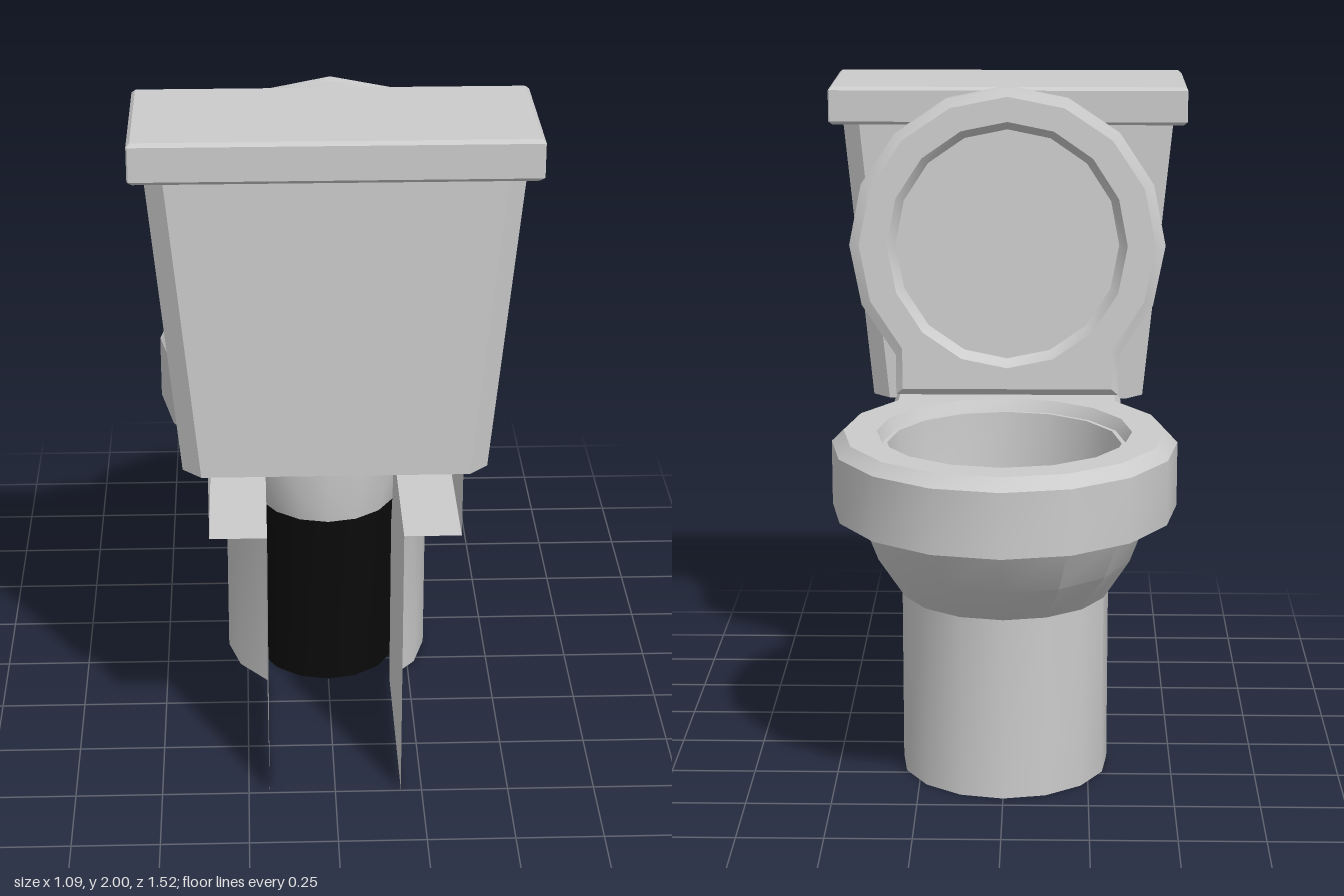
import * as THREE from 'three';
import { toCreasedNormals } from 'three/addons/utils/BufferGeometryUtils.js';

const grey = new THREE.MeshStandardMaterial({ color: 0xcccccc, side: THREE.DoubleSide });
const black = new THREE.MeshStandardMaterial({ color: 0x0a0a0a, side: THREE.DoubleSide });

// 16-sided oval at height y. With backZ the rear is squared off at x = +-endX.
// Point 0 is the middle of the rear; the rest run counter-clockwise seen from above.
function oval(y, cz, rx, rz, endX, backZ) {
  const squared = backZ !== undefined;
  const a0 = squared ? Math.asin(endX / rx) : Math.PI / 4;
  const at = a => [rx * Math.sin(a), y, cz + rz * Math.cos(a)];
  const e = Math.PI / 8;
  const pts = squared ? [[0, y, backZ], [endX, y, backZ]] : [at(0), at(e)];
  for (let i = 0; i <= 12; i++) pts.push(at(a0 + (2 * Math.PI - 2 * a0) * i / 12));
  pts.push(squared ? [-endX, y, backZ] : at(-e));
  return pts;
}

// Rectangle with chamfered corners, same direction as oval
function chamferRect(y, hx, z0, z1, c) {
  return [[hx - c, z1], [hx, z1 - c], [hx, z0 + c], [hx - c, z0],
    [c - hx, z0], [-hx, z0 + c], [-hx, z1 - c], [c - hx, z1]].map(([x, z]) => [x, y, z]);
}

// Skin a stack of rings
function loft(name, rings, { open = false, bottom = false, top = false, material = grey } = {}) {
  const pos = [], n = rings[0].length;
  const tri = (a, b, c) => pos.push(...a, ...b, ...c);
  for (let i = 0; i < rings.length - 1; i++) {
    for (let j = 0; j < (open ? n - 1 : n); j++) {
      const k = (j + 1) % n, lo = rings[i], hi = rings[i + 1];
      tri(lo[j], lo[k], hi[k]);
      tri(lo[j], hi[k], hi[j]);
    }
  }
  const cap = (ring, up) => {
    const mid = [0, 1, 2].map(d => ring.reduce((s, p) => s + p[d], 0) / n);
    ring.forEach((p, j) => {
      const q = ring[(j + 1) % n];
      up ? tri(mid, p, q) : tri(mid, q, p);
    });
  };
  if (bottom) cap(rings[0], false);
  if (top) cap(rings[rings.length - 1], true);
  const geo = new THREE.BufferGeometry();
  geo.setAttribute('position', new THREE.Float32BufferAttribute(pos, 3));
  const mesh = new THREE.Mesh(toCreasedNormals(geo, 0.5), material);
  mesh.name = name;
  return mesh;
}

export function createModel() {
  const model = new THREE.Group();
  model.name = 'toilet';

  // Pedestal with its side walls, flared bowl and wide rim band, open at the rear
  model.add(loft('pedestalAndBowlShell', [
    oval(0, -0.13, 0.31, 0.32, 0.19, 0.745),
    oval(0.55, -0.13, 0.31, 0.32, 0.19, 0.745),
    oval(0.68, -0.18, 0.38, 0.42, 0.19, 0.745),
    oval(0.83, -0.22, 0.43, 0.47, 0.19, 0.745),
    oval(0.83, -0.22, 0.505, 0.545, 0.35, 0.745),
    oval(1.02, -0.22, 0.505, 0.545, 0.35, 0.745),
  ].map(r => r.slice(1)), { open: true }));

  // Shelf under the tank, bevelled seat and inside of the bowl
  model.add(loft('seatAndBowlLining', [
    oval(1.02, -0.22, 0.505, 0.545, 0.35, 0.745),
    oval(1.02, -0.22, 0.505, 0.545, 0.35, 0.31),
    oval(1.055, -0.22, 0.47, 0.51, 0.33, 0.3),
    oval(1.055, -0.23, 0.372, 0.402),
    oval(1.02, -0.23, 0.355, 0.385),
    oval(1.02, -0.23, 0.342, 0.372),
    oval(0.8, -0.19, 0.305, 0.33),
    oval(0.66, -0.15, 0.26, 0.285),
    oval(0.55, -0.125, 0.22, 0.245),
  ]));

  // Dark drain running down through the pedestal
  model.add(loft('drain', [
    oval(0, -0.125, 0.22, 0.245),
    oval(0.55, -0.125, 0.22, 0.245),
  ], { material: black }));

  // Raised lid, modelled closed with a recessed underside and tipped up
  const lid = loft('lid', [
    oval(0, 0, 0.34, 0.35),
    oval(-0.035, 0, 0.365, 0.375),
    oval(-0.035, 0, 0.45, 0.45, 0.32, 0.44),
    oval(-0.018, 0, 0.48, 0.48, 0.34, 0.46),
    oval(0.018, 0, 0.48, 0.48, 0.34, 0.46),
    oval(0.035, 0, 0.45, 0.45, 0.32, 0.44),
  ], { bottom: true, top: true });
  lid.rotation.x = THREE.MathUtils.degToRad(93);
  lid.position.set(0, 1.52, 0.235);
  model.add(lid);

  // Tank, wider at the top, with chamfered corners
  model.add(loft('tank', [
    chamferRect(1.02, 0.42, 0.32, 0.745, 0.052),
    chamferRect(1.88, 0.505, 0.32, 0.745, 0.052),
  ], { bottom: true, top: true }));

  // Tank cover with a small bevel
  model.add(loft('tankCover', [
    chamferRect(1.875, 0.535, 0.31, 0.75, 0.004),
    chamferRect(1.885, 0.545, 0.3, 0.76, 0.004),
    chamferRect(1.98, 0.545, 0.3, 0.76, 0.004),
    chamferRect(1.99, 0.535, 0.31, 0.75, 0.004),
  ], { bottom: true, top: true }));

  return model;
}
